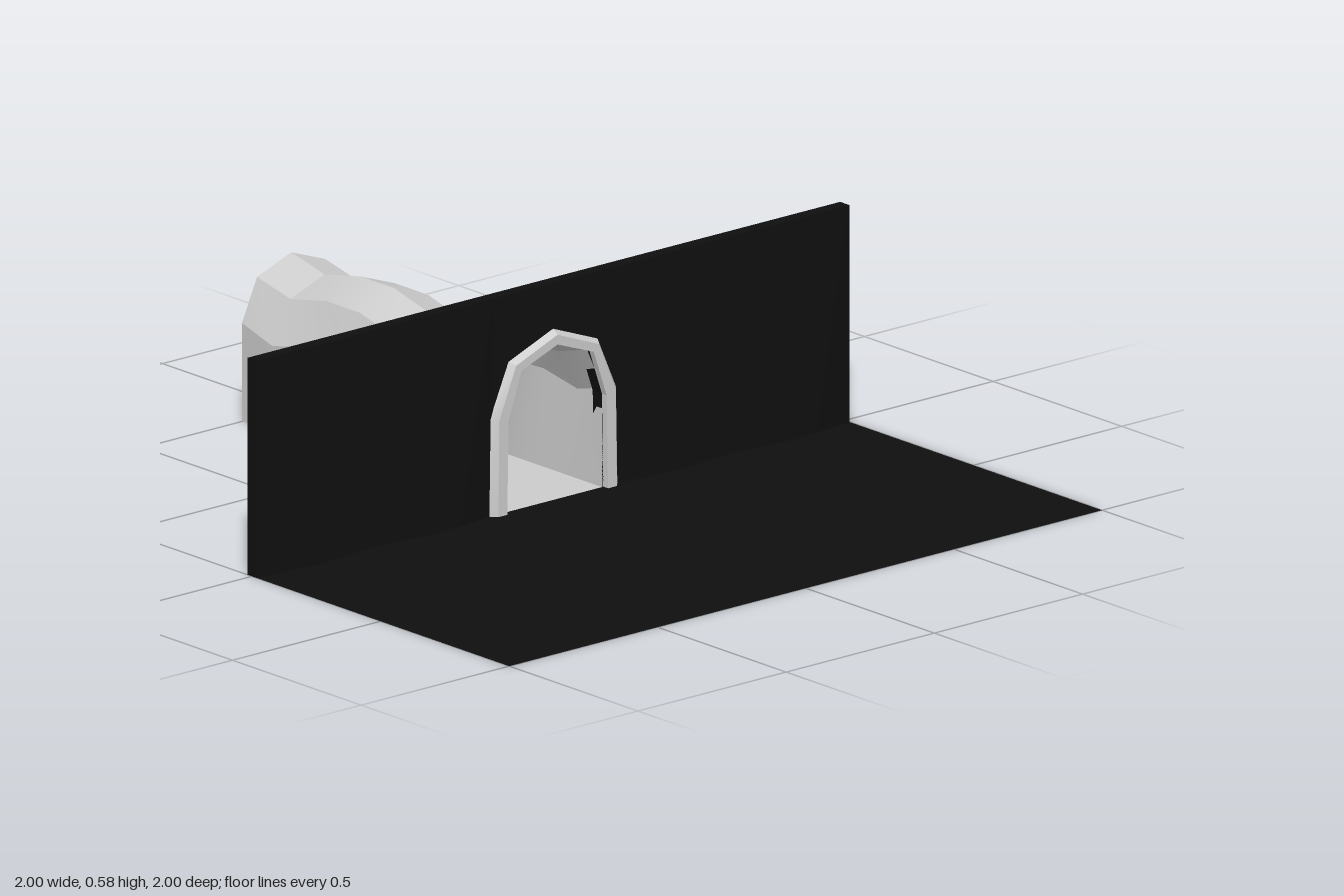
import * as THREE from 'three';
import { toCreasedNormals } from 'three/addons/utils/BufferGeometryUtils.js';

const grey = new THREE.MeshStandardMaterial({ color: 0xcccccc, side: THREE.DoubleSide });
const dark = new THREE.MeshStandardMaterial({ color: 0x0f0f0f, side: THREE.DoubleSide });

const HEIGHT = 0.58;
const HALF = 0.018;

// Skin a series of equal-length cross-sections; closed joins the last point to the first.
function loft(sections, closed) {
  const n = sections[0].length;
  const index = [];
  for (let r = 0; r < sections.length - 1; r++) {
    for (let i = 0; i < (closed ? n : n - 1); i++) {
      const j = (i + 1) % n;
      const a = r * n + i, b = r * n + j, c = a + n, d = b + n;
      index.push(a, b, c, b, d, c);
    }
  }
  const geo = new THREE.BufferGeometry();
  geo.setAttribute('position', new THREE.Float32BufferAttribute(sections.flat(2), 3));
  geo.setIndex(index);
  return toCreasedNormals(geo, 0.3);
}

// Seven-point arch: base, spring and shoulder on each side, plus the crown.
function arch(baseX, springX, springY, shoulderX, shoulderY, crownY, z, sway = 0) {
  return [
    [baseX, 0, z], [springX + sway, springY, z], [shoulderX, shoulderY, z], [0, crownY, z],
    [-shoulderX, shoulderY, z], [-springX + sway, springY, z], [-baseX, 0, z],
  ];
}

function add(parent, name, geometry, material) {
  const mesh = new THREE.Mesh(geometry, material);
  mesh.name = name;
  parent.add(mesh);
  return mesh;
}

// Wall wing whose foot swells at regular intervals and tapers to a straight top.
function wingGeometry(side) {
  const geo = new THREE.BoxGeometry(0.8, HEIGHT, HALF * 2, 4, 1, 1);
  geo.translate(side * 0.6, HEIGHT / 2, 0);
  const p = geo.attributes.position;
  for (let i = 0; i < p.count; i++) {
    if (p.getY(i) > 0.01) continue;
    const swell = 0.5 - 0.5 * Math.cos(Math.PI * (Math.abs(p.getX(i)) - 0.2) / 0.2);
    p.setZ(i, Math.sign(p.getZ(i)) * (HALF + 0.02 * swell));
  }
  return toCreasedNormals(geo, 0.3);
}

export function createModel() {
  const model = new THREE.Group();
  model.name = 'tunnelEntrance';

  // Ground in front of the wall
  const ground = new THREE.PlaneGeometry(2, 1);
  ground.rotateX(-Math.PI / 2);
  ground.translate(0, 0, 0.5);
  add(model, 'ground', ground, dark);

  // Wall: two wings and a middle piece cut out around the opening
  const wall = new THREE.Group();
  wall.name = 'wall';
  model.add(wall);
  add(wall, 'leftWing', wingGeometry(1), dark);
  add(wall, 'rightWing', wingGeometry(-1), dark);

  const opening = arch(0.17, 0.165, 0.25, 0.122, 0.375, 0.42, 0);
  const outline = [[-0.2, 0], [-0.2, HEIGHT], [0.2, HEIGHT], [0.2, 0], ...opening];
  const shape = new THREE.Shape(outline.map(([x, y]) => new THREE.Vector2(x, y)));
  const middle = new THREE.ExtrudeGeometry(shape, { depth: HALF * 2, bevelEnabled: false });
  middle.translate(0, 0, -HALF);
  add(wall, 'middleWall', middle, dark);

  // Bevelled surround standing out from the wall
  const surround = loft([
    arch(0.22, 0.215, 0.26, 0.152, 0.402, 0.46, 0.015),
    arch(0.2, 0.197, 0.256, 0.14, 0.392, 0.446, 0.036),
    arch(0.17, 0.165, 0.25, 0.122, 0.375, 0.42, 0.036),
    arch(0.17, 0.165, 0.25, 0.122, 0.375, 0.42, 0.015),
  ], false);
  add(model, 'archSurround', surround, grey);

  // Uneven tunnel with a floor, open at both ends: [z, crown height, sideways sway]
  const rings = [
    [0.018, 0.42, 0], [-0.09, 0.39, 0.01], [-0.21, 0.418, 0], [-0.33, 0.418, -0.012],
    [-0.445, 0.38, -0.002], [-0.6, 0.418, 0.009], [-0.73, 0.418, 0], [-0.87, 0.39, -0.01],
    [-1, 0.418, 0],
  ];
  const tunnel = loft(rings.map(([z, top, sway]) =>
    arch(0.165, 0.166, top - 0.155, 0.115, top - 0.042, top, z, sway)), true);
  add(model, 'tunnel', tunnel, grey);

  return model;
}
